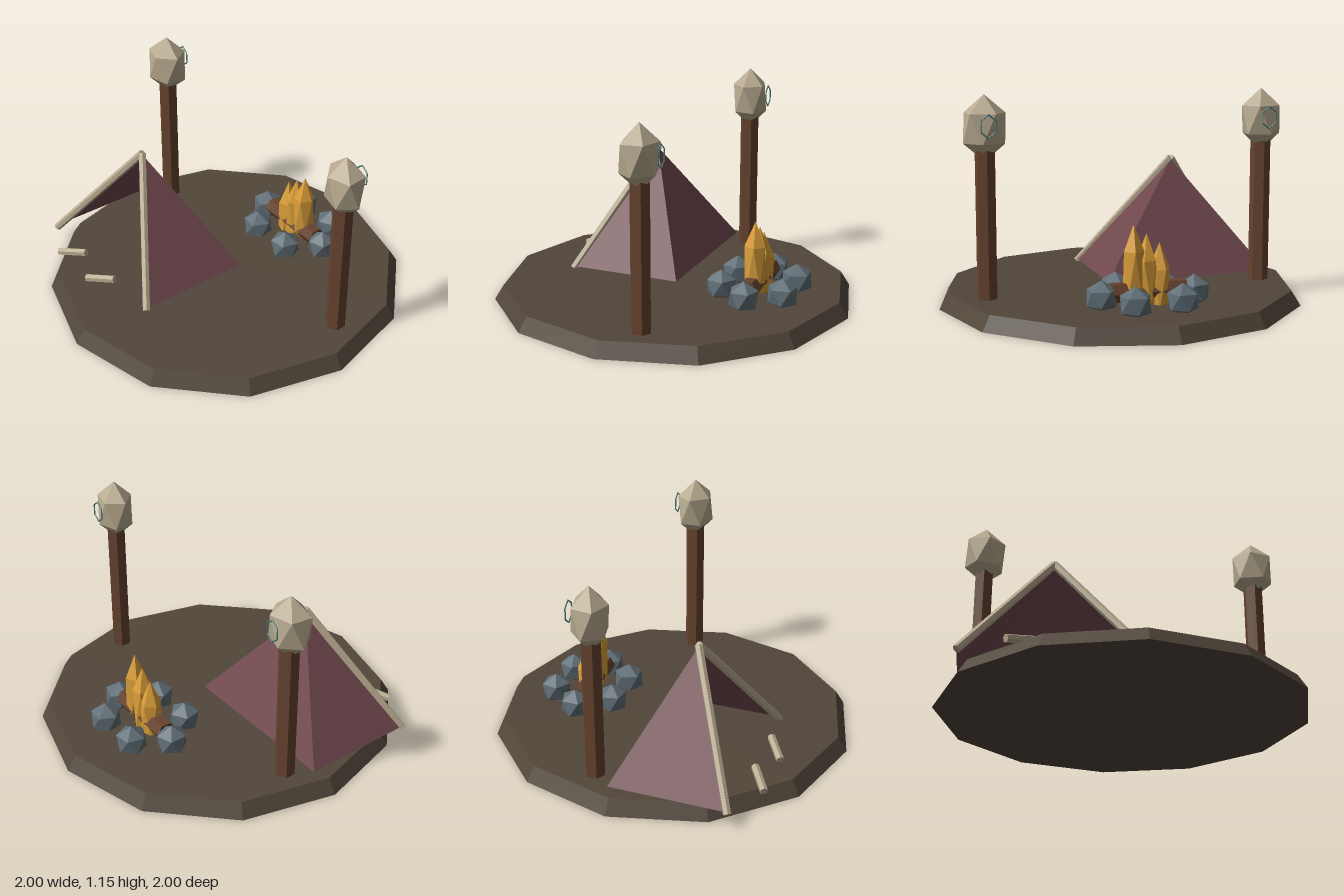
import * as THREE from 'three';

const mat = (name, color, extra = {}) => {
  const m = new THREE.MeshStandardMaterial({ color, flatShading: true, ...extra });
  m.name = name;
  return m;
};

export function createModel() {
  const group = new THREE.Group();
  const earth = mat('earth', 0x51463a);
  const wood = mat('wood', 0x66432f);
  const bone = mat('bone', 0xb8ab90);
  const hide = mat('hide', 0x70484e, { side: THREE.DoubleSide });
  const stone = mat('stone', 0x5f6d75);
  const fire = mat('fire', 0xdb9f3a);
  const teal = mat('teal', 0x4f827c);

  const add = (name, geometry, material, x = 0, y = 0, z = 0) => {
    const mesh = new THREE.Mesh(geometry, material);
    mesh.name = name;
    mesh.position.set(x, y, z);
    group.add(mesh);
    return mesh;
  };

  // Twenty-sided ball standing on a corner, stretched to the given radii
  const ball = (rx, ry, rz, yaw = 0) =>
    new THREE.IcosahedronGeometry(1, 0)
      .rotateZ(Math.atan(2 / (1 + Math.sqrt(5))))
      .rotateY(yaw)
      .scale(rx, ry, rz);

  // Six-sided rod between two points
  const rod = (name, a, b, r, material) => {
    const from = new THREE.Vector3(...a), to = new THREE.Vector3(...b);
    const dir = to.clone().sub(from);
    const mesh = add(name, new THREE.CylinderGeometry(r, r, dir.length(), 6), material);
    mesh.position.copy(from).add(to).multiplyScalar(0.5);
    mesh.quaternion.setFromUnitVectors(new THREE.Vector3(0, 1, 0), dir.normalize());
    return mesh;
  };

  // Ground disc
  add('ground', new THREE.CylinderGeometry(0.95, 1, 0.08, 12), earth, 0, 0.04, 0);

  // Tent: back and two side panels, open at the front
  const tent = new THREE.BufferGeometry();
  tent.setAttribute('position', new THREE.Float32BufferAttribute([
    -0.4, 0.715, 0.28,
    -0.875, 0.09, 0.6,
    -0.875, 0.09, -0.04,
    0.075, 0.09, -0.04,
    0.075, 0.09, 0.6,
  ], 3));
  tent.setIndex([0, 2, 1, 0, 3, 2, 0, 4, 3]);
  const panels = tent.toNonIndexed();
  panels.computeVertexNormals();
  add('tent', panels, hide);

  // Tent poles along the front edges
  for (const s of [-1, 1]) {
    rod('tentPole', [-0.4 + s * 0.475, 0.078, 0.6], [-0.4, 0.725, 0.28], 0.022, bone);
  }

  // Loose bones in front of the tent
  for (const x of [-0.575, -0.275]) {
    rod('looseBone', [x - 0.07, 0.093, 0.72], [x + 0.075, 0.131, 0.628], 0.022, bone);
  }

  // Posts with carved heads and a ring hung behind each
  for (const s of [-1, 1]) {
    add('post', new THREE.CylinderGeometry(0.055, 0.055, 0.8, 6), wood, s * 0.77, 0.47, -0.15);
    const head = add('postHead', ball(0.126, 0.173, 0.108, 0.3), bone, s * 0.77, 0.977, -0.15);
    head.rotation.y = -s * 0.25;
    const ring = add('headRing', new THREE.TorusGeometry(0.06, 0.005, 4, 6), teal, s * 0.77, 0.995, -0.262);
    ring.rotation.z = Math.PI / 2;
    ring.scale.set(1, 0.72, 0.8);
  }

  // Fire log
  rod('fireLog', [-0.2, 0.15, -0.5], [0.2, 0.15, -0.5], 0.054, wood);

  // Flames rising towards the left
  [0.4, 0.45, 0.5].forEach((h, i) => {
    add('flame', ball(0.062, 0.25, 0.066, i * 0.4), fire, (i - 1) * 0.07 + 0.01, h - 0.25, -0.5);
  });
  // Keep the buried flame tips above the underside of the ground
  group.children.filter((m) => m.name === 'flame').forEach((m) => {
    const p = m.geometry.attributes.position;
    for (let k = 0; k < p.count; k++) p.setY(k, Math.max(p.getY(k), 0.05 - m.position.y));
    m.geometry.computeVertexNormals();
  });

  // Ring of stones around the fire
  for (let i = 0; i < 6; i++) {
    const a = (i * Math.PI) / 3;
    add('fireStone', ball(0.09, 0.09, 0.09, a), stone,
      0.25 * Math.cos(a), 0.13, -0.5 + 0.2 * Math.sin(a));
  }

  return group;
}
